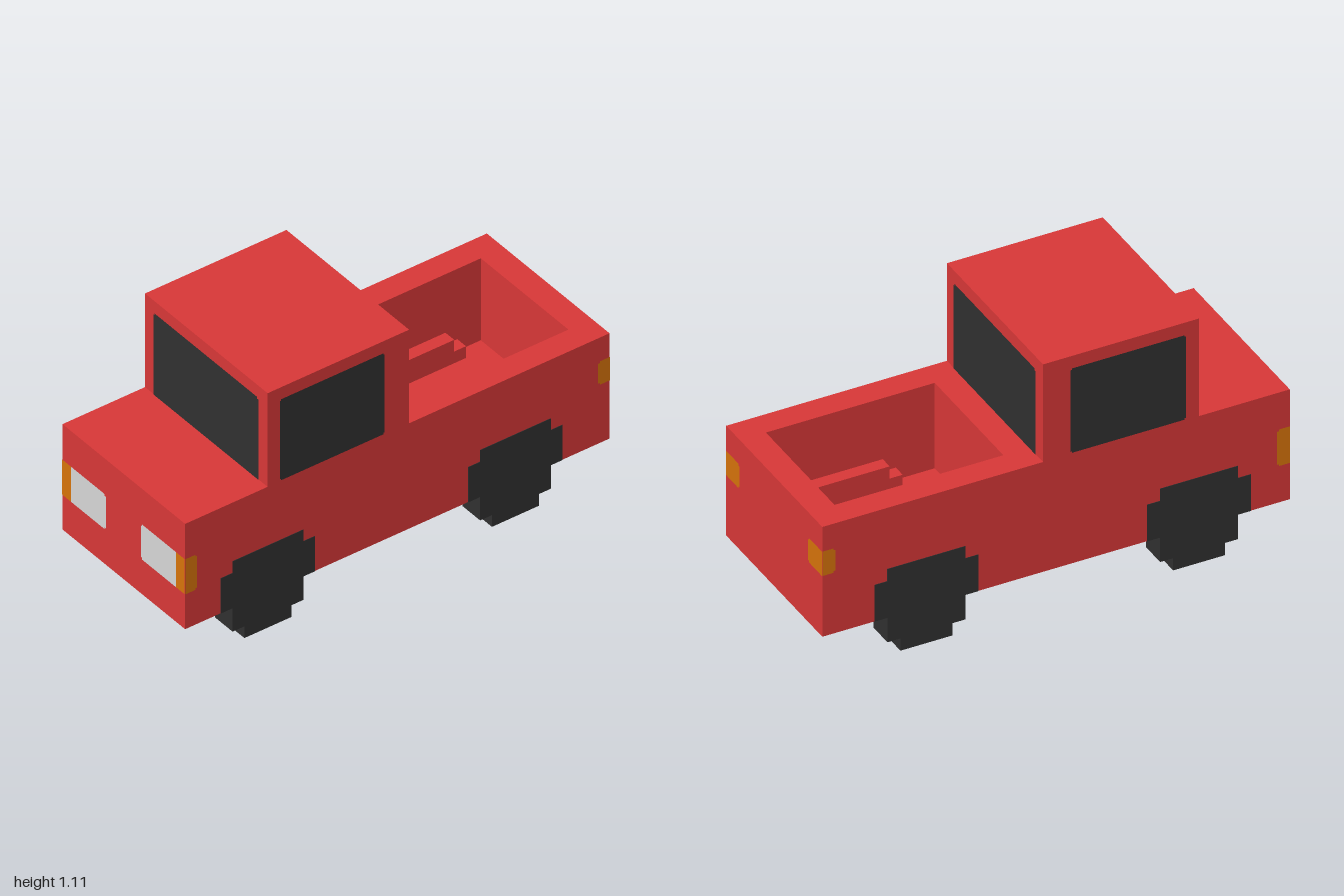
import * as THREE from 'three';

const U = 1 / 18; // one block

const mat = (name, color, side = THREE.FrontSide) => {
  const m = new THREE.MeshStandardMaterial({ color, side });
  m.name = name;
  return m;
};

export function createModel() {
  const truck = new THREE.Group();
  truck.name = 'pickupTruck';
  const red = mat('red paint', 0xdb3838);
  const dark = mat('dark glass and rubber', 0x313131);
  const silver = mat('headlight white', 0xdadada);
  const orange = mat('signal orange', 0xda750b);

  const add = (name, geometry, material, parent = truck) => {
    const mesh = new THREE.Mesh(geometry, material);
    mesh.name = name;
    parent.add(mesh);
    return mesh;
  };

  // Box given by its limits in blocks
  const block = (name, x0, x1, y0, y1, z0, z1, material = red) => {
    const mesh = add(name, new THREE.BoxGeometry((x1 - x0) * U, (y1 - y0) * U, (z1 - z0) * U), material);
    mesh.position.set((x0 + x1) / 2 * U, (y0 + y1) / 2 * U, (z0 + z1) / 2 * U);
    return mesh;
  };

  // Thin painted panel; a/b limits in blocks, cut = notch size at each corner
  // (bottom left, bottom right, top right, top left as seen from outside)
  const panel = (name, face, a0, a1, y0, y1, depth, material, cuts = [0, 0, 0, 0]) => {
    const [bl, br, tr, tl] = cuts;
    const pts = [[a0 + bl, y0], [a1 - br, y0], [a1 - br, y0 + br], [a1, y0 + br],
      [a1, y1 - tr], [a1 - tr, y1 - tr], [a1 - tr, y1], [a0 + tl, y1],
      [a0 + tl, y1 - tl], [a0, y1 - tl], [a0, y0 + bl], [a0 + bl, y0 + bl]];
    const shape = new THREE.Shape(pts.map(([x, y]) => new THREE.Vector2(x * U, y * U)));
    const mesh = add(name, new THREE.ShapeGeometry(shape), material);
    const d = depth * U + 0.002;
    if (face === 'front') mesh.position.z = d;
    if (face === 'back') { mesh.rotation.y = Math.PI; mesh.position.z = -d; }
    if (face === 'left') { mesh.rotation.y = Math.PI / 2; mesh.position.x = d; }
    if (face === 'right') { mesh.rotation.y = -Math.PI / 2; mesh.position.x = -d; }
    return mesh;
  };

  // Lower body and upper body with the open cargo bed
  block('chassis', -7, 7, 3, 5, -18, 18);
  block('hood', -7, 7, 5, 12, -3, 18);
  block('tailgate', -7, 7, 5, 12, -18, -16);
  block('bedSideLeft', 5, 7, 5, 12, -16, -3);
  block('bedSideRight', -7, -5, 5, 12, -16, -3);
  block('cab', -7, 7, 12, 20, -1, 11);

  // Stepped wheel outline, centred on its axle, heights from the ground
  const half = [[2, 0], [2, 1], [3, 1], [3, 2], [4, 2], [4, 6], [3, 6], [3, 7]];
  half[3] = [3, 3];
  half[4] = [4, 3];
  const outline = [...half, ...half.slice().reverse().map(([x, y]) => [-x, y])];
  const wheelShape = new THREE.Shape(outline.map(([x, y]) => new THREE.Vector2(x * U, y * U)));
  const wheelGeometry = new THREE.ExtrudeGeometry(wheelShape, { depth: 2 * U + 0.002, bevelEnabled: false });
  wheelGeometry.rotateY(Math.PI / 2);

  for (const s of [1, -1]) {
    const side = s > 0 ? 'Left' : 'Right';
    for (const [label, z] of [['front', 11], ['rear', -10]]) {
      const wheel = add(label + 'Wheel' + side, wheelGeometry, dark);
      wheel.position.set(s * 5 * U, 0, z * U);
      if (s < 0) wheel.rotation.y = Math.PI;
    }

    // Wheel arches inside the bed
    const [x0, x1] = s > 0 ? [4, 5] : [-5, -4];
    block('wheelArchLower' + side, x0, x1, 5, 6, -14, -6);
    block('wheelArchUpper' + side, x0, x1, 6, 7, -13, -7);

    // Side window: the left side's horizontal axis is -z, the right side's is +z
    const face = s > 0 ? 'left' : 'right';
    const span = (z0, z1) => (s > 0 ? [-z1, -z0] : [z0, z1]);
    panel('sideWindow' + side, face, ...span(1.1, 10), 12.08, 19, 7, dark, [0.12, 0.12, 0.12, 0.12]);

    // Headlights and signals wrapping round the corners
    const ends = (a, b) => (s > 0 ? [a, b] : [-b, -a]);
    const inner = s > 0 ? [0.15, 0, 0, 0.15] : [0, 0.15, 0.15, 0];
    panel('headlight' + side, 'front', ...ends(2, 6), 6, 9, 18, silver, inner);
    panel('frontSignal' + side, 'front', ...ends(6, 7), 6, 9, 18, orange);
    const rearEdge = s > 0 ? [0, 0.15, 0.15, 0] : [0.15, 0, 0, 0.15];
    panel('frontSignalSide' + side, face, ...span(17, 18), 6, 9, 7, orange, rearEdge);
    const [b0, b1] = ends(5, 7);
    const innerBack = s > 0 ? [0, 0.15, 0.15, 0] : [0.15, 0, 0, 0.15];
    panel('tailSignal' + side, 'back', -b1, -b0, 8, 10, 18, orange, innerBack);
    const frontEdge = s > 0 ? [0.15, 0, 0, 0.15] : [0, 0.15, 0.15, 0];
    panel('tailSignalSide' + side, face, ...span(-18, -17), 8, 10, 7, orange, frontEdge);
  }

  // Windshield and rear window
  panel('windshield', 'front', -6, 6, 12, 19, 11, dark, [0, 0, 0.15, 0.15]);
  panel('rearWindow', 'back', -6, 6, 12, 19, 1, dark, [0, 0, 0.15, 0.15]);

  return truck;
}
